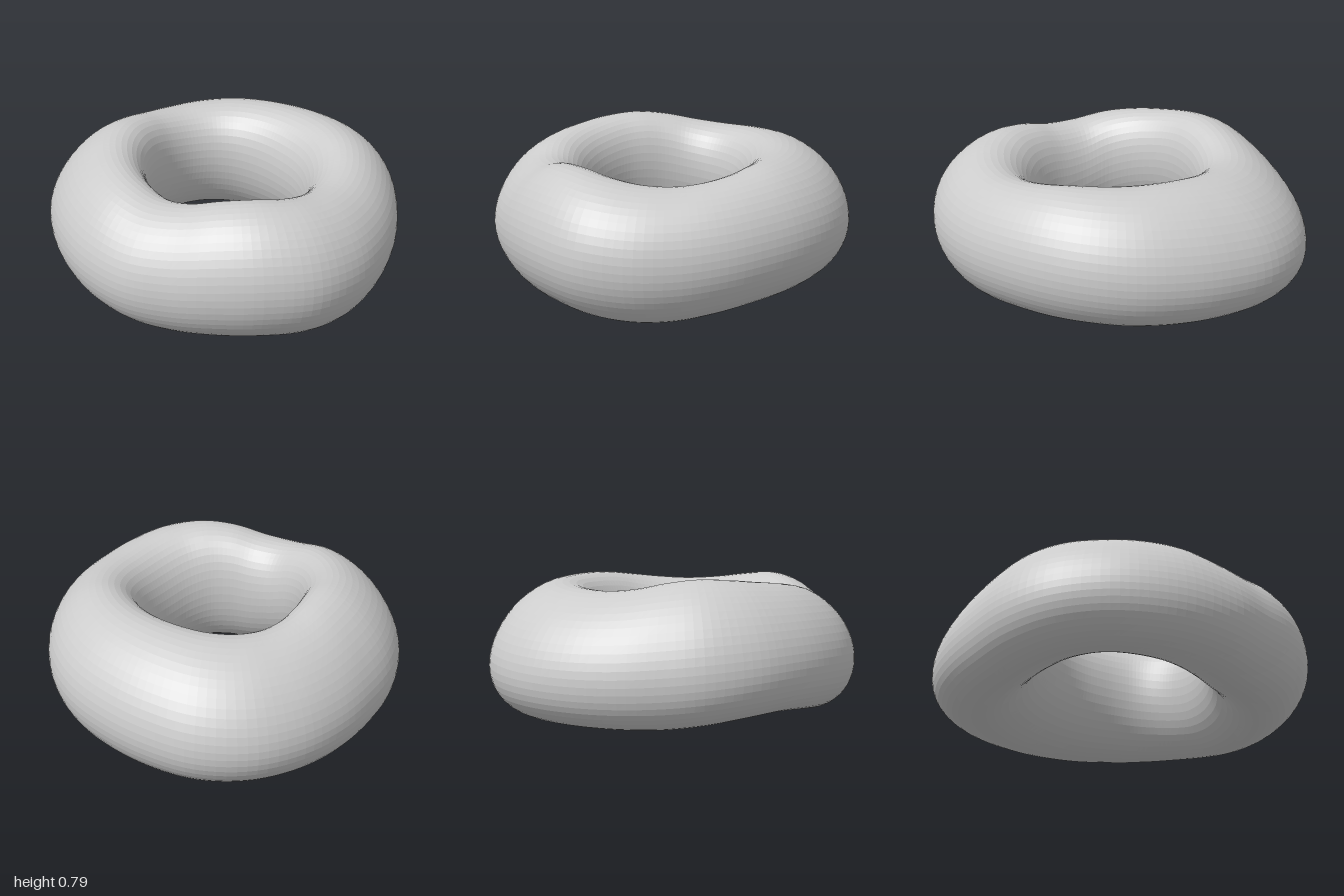
import * as THREE from 'three';

// Ring measurements every 15 degrees, going from +x towards +z
const OUTER = [0.992, 1.012, 0.982, 0.945, 0.932, 0.956, 0.962, 0.954, 0.957, 0.972, 0.975, 0.968,
  0.99, 1.027, 1.06, 1.053, 1.01, 0.98, 0.968, 0.952, 0.933, 0.922, 0.932, 0.955];
const INNER = [0.425, 0.437, 0.443, 0.442, 0.442, 0.45, 0.455, 0.447, 0.435, 0.427, 0.42, 0.422,
  0.427, 0.43, 0.425, 0.412, 0.395, 0.383, 0.378, 0.386, 0.4, 0.411, 0.415, 0.417];
const TOP = [0.7, 0.725, 0.743, 0.73, 0.695, 0.69, 0.727, 0.752, 0.768, 0.784, 0.79, 0.772,
  0.741, 0.725, 0.727, 0.735, 0.742, 0.745, 0.745, 0.745, 0.74, 0.72, 0.7, 0.69];
const BOTTOM = [0, 0.015, 0.03, 0.03, 0.03, 0.05, 0.08, 0.105, 0.12, 0.11, 0.085, 0.065,
  0.06, 0.06, 0.06, 0.055, 0.05, 0.05, 0.055, 0.06, 0.055, 0.045, 0.025, 0.003];

// Smooth periodic interpolation, t in 0..1 around the ring
function sample(values, t) {
  const n = values.length, i = Math.floor(t * n), f = t * n - i;
  const [a, b, c, d] = [-1, 0, 1, 2].map(k => values[(i + k + n) % n]);
  return b + 0.5 * f * (c - a + f * (2 * a - 5 * b + 4 * c - d + f * (3 * (b - c) + d - a)));
}

// Lumpy ring: an oval section swept round the y axis, leaning inwards most on the -x side
function ringGeometry(around = 128, section = 48) {
  const positions = [], index = [];
  for (let i = 0; i < around; i++) {
    const t = i / around, a = t * Math.PI * 2;
    const outer = sample(OUTER, t), inner = sample(INNER, t);
    const top = sample(TOP, t), bottom = sample(BOTTOM, t);
    const lean = 0.15 - 0.15 * Math.cos(a) + 0.03 * Math.sin(a);
    for (let j = 0; j < section; j++) {
      const b = (j / section) * Math.PI * 2;
      const r = (outer + inner + (outer - inner) * Math.cos(b)) / 2;
      const y = (top + bottom + (top - bottom) * Math.sin(b - lean - 0.1 * Math.sin(b))) / 2;
      positions.push(r * Math.cos(a), y, r * Math.sin(a));
      const i2 = (i + 1) % around, j2 = (j + 1) % section;
      const p = i * section + j, q = i * section + j2;
      const u = i2 * section + j, v = i2 * section + j2;
      index.push(p, q, u, q, v, u);
    }
  }
  const geometry = new THREE.BufferGeometry();
  geometry.setAttribute('position', new THREE.Float32BufferAttribute(positions, 3));
  geometry.setIndex(index);
  geometry.computeVertexNormals();
  return geometry;
}

export function createModel() {
  const group = new THREE.Group();
  group.name = 'lumpyRing';
  const grey = new THREE.MeshStandardMaterial({ color: 0xcccccc, flatShading: true });
  grey.name = 'grey';
  const ring = new THREE.Mesh(ringGeometry(), grey);
  ring.name = 'ring';
  group.add(ring);
  return group;
}
